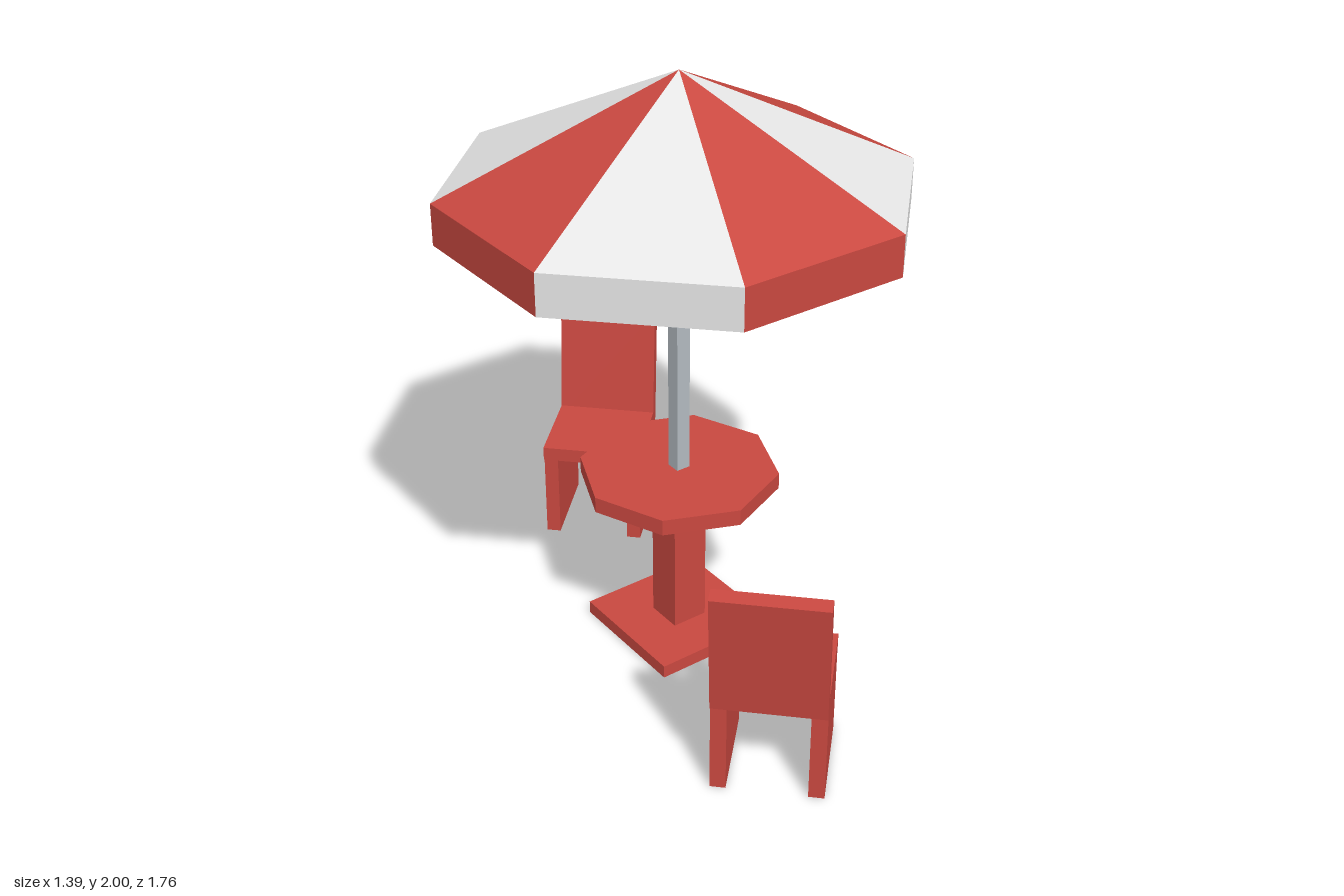
import * as THREE from 'three';

export function createModel() {
  const model = new THREE.Group();
  const paint = (name, color) => {
    const m = new THREE.MeshStandardMaterial({ color, flatShading: true });
    m.name = name;
    return m;
  };
  const red = paint('red', 0xc94840);
  const white = paint('white', 0xe6e6e6);
  const steel = paint('steel grey', 0xb2bac0);

  const add = (parent, name, geometry, material, x = 0, y = 0, z = 0) => {
    const mesh = new THREE.Mesh(geometry, material);
    mesh.name = name;
    mesh.position.set(x, y, z);
    parent.add(mesh);
    return mesh;
  };
  const group = (name, parent = model) => {
    const g = new THREE.Group();
    g.name = name;
    parent.add(g);
    return g;
  };
  // Upright prism from y0 to y1
  const prism = (parent, name, r, sides, y0, y1, material) =>
    add(parent, name, new THREE.CylinderGeometry(r, r, y1 - y0, sides), material, 0, (y0 + y1) / 2);

  // Table: square foot and post set cornerwise, octagonal top
  const table = group('table');
  prism(table, 'tableFoot', 0.315, 4, 0, 0.045, red);
  prism(table, 'tablePost', 0.09, 4, 0.045, 0.58, red);
  prism(table, 'tableTop', 0.332, 8, 0.58, 0.635, red);

  // Parasol: pole and eight panels, each a sloped wedge with a valance
  const parasol = group('parasol');
  prism(parasol, 'pole', 0.035, 4, 0.635, 1.515, steel);
  const R = 0.752, rim = 1.65, hem = 1.515, step = Math.PI / 4;
  for (let i = 0; i < 8; i++) {
    const start = (i - 0.5) * step;
    const material = i % 2 ? red : white;
    const panel = group('canopyPanel', parasol);
    add(panel, 'slope', new THREE.ConeGeometry(R, 2 - rim, 1, 1, true, start, step), material, 0, (2 + rim) / 2);
    add(panel, 'valance', new THREE.CylinderGeometry(R, R, rim - hem, 1, 1, true, start, step), material, 0, (rim + hem) / 2);
  }
  const underside = new THREE.CircleGeometry(R, 8, step / 2).rotateX(Math.PI / 2);
  add(parasol, 'canopyUnderside', underside, red, 0, hem);

  // Chairs: the second is the first turned half way round the table
  const width = 0.353, cx = 0.398;
  const backProfile = new THREE.Shape([
    [-0.775, 0.325], [-0.825, 0.318], [-0.88, 0.75], [-0.83, 0.757],
  ].map(([u, v]) => new THREE.Vector2(u, v)));
  for (let i = 0; i < 2; i++) {
    const chair = group(i ? 'rearChair' : 'frontChair');
    add(chair, 'seat', new THREE.BoxGeometry(width, 0.05, 0.35), red, cx, 0.34, 0.642);
    for (const side of [-1, 1]) {
      add(chair, 'sideLeg', new THREE.BoxGeometry(0.05, 0.315, 0.33), red,
        cx + side * (width - 0.05) / 2, 0.1575, 0.643);
    }
    // Leaning backrest, profile drawn in -z and extruded along x
    const back = new THREE.ExtrudeGeometry(backProfile, { depth: width, bevelEnabled: false });
    back.rotateY(Math.PI / 2);
    add(chair, 'backrest', back, red, cx - width / 2);
    chair.rotation.y = i * Math.PI;
  }
  return model;
}
